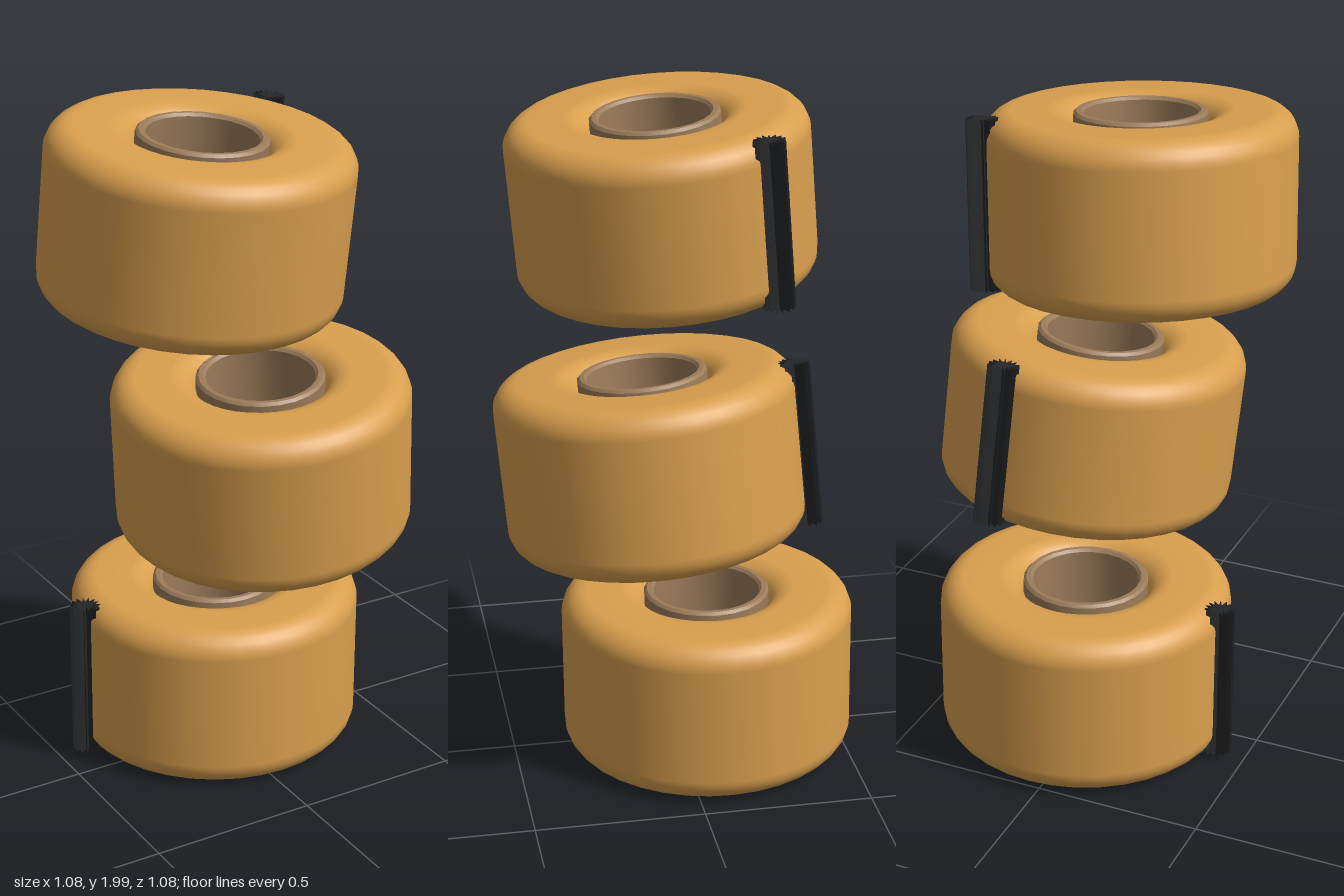
import * as THREE from 'three';
import { toCreasedNormals } from 'three/addons/utils/BufferGeometryUtils.js';

const R = 0.44, H = 0.253; // roll radius and half height

// Adds a rounded corner to a profile
function arc(points, cx, cy, r, from, to, steps = 7) {
  for (let i = 0; i <= steps; i++) {
    const a = THREE.MathUtils.degToRad(from + (to - from) * i / steps);
    points.push(new THREE.Vector2(cx + r * Math.cos(a), cy + r * Math.sin(a)));
  }
}

// Thick ring, rounded outside and dimpled toward the core
function bodyGeometry() {
  const p = [], inner = 0.08, outer = 0.075;
  arc(p, 0.183 + inner, -H + inner, inner, 180, 270);
  arc(p, R - outer, -H + outer, outer, 270, 360);
  arc(p, R - outer, H - outer, outer, 0, 90);
  arc(p, 0.183 + inner, H - inner, inner, 90, 180);
  return new THREE.LatheGeometry(p, 36);
}

// Open tube with bevelled rims
function coreGeometry() {
  const h = 0.25, b = 0.008, ro = 0.189, ri = 0.16;
  const p = [
    [ri, -h + b], [ri + b, -h], [ro - b, -h], [ro, -h + b],
    [ro, h - b], [ro - b, h], [ri + b, h], [ri, h - b], [ri, -h + b],
  ].map(([x, y]) => new THREE.Vector2(x, y));
  return toCreasedNormals(new THREE.LatheGeometry(p, 24), 0.6);
}

// Long strip with a many-pointed star section
function stripGeometry() {
  const spikes = 15, length = 0.49, s = new THREE.Shape();
  for (let i = 0; i < spikes * 2; i++) {
    const a = Math.PI * i / spikes, r = i % 2 ? 0.02 : 0.046;
    if (i) s.lineTo(r * Math.cos(a), r * Math.sin(a));
    else s.moveTo(r, 0);
  }
  s.closePath();
  const g = new THREE.ExtrudeGeometry(s, { depth: length, bevelEnabled: false });
  return g.translate(0, 0, -length / 2).rotateX(-Math.PI / 2);
}

export function createModel() {
  const amber = new THREE.MeshStandardMaterial({ name: 'amber', color: 0xd99f4e });
  const brown = new THREE.MeshStandardMaterial({ name: 'brown', color: 0x9c7c5a });
  const black = new THREE.MeshStandardMaterial({ name: 'black', color: 0x252628 });
  const body = bodyGeometry(), core = coreGeometry(), strip = stripGeometry();

  const model = new THREE.Group();
  model.name = 'stackedRolls';

  // Centre, axis direction and strip offset of each roll
  const rolls = [
    { name: 'bottomRoll', at: [0.03, 0.263, -0.095], axis: [0, 1, 0.01], strip: [-0.44, -0.015] },
    { name: 'middleRoll', at: [0.0875, 0.985, 0.088], axis: [-0.08, 1, 0.085], strip: [0.115, -0.425] },
    { name: 'topRoll', at: [-0.095, 1.707, 0.02], axis: [0.05, 1, 0.09], strip: [0.368, -0.25] },
  ];
  for (const r of rolls) {
    const roll = new THREE.Group();
    roll.name = r.name;
    const add = (name, geometry, material) => {
      const m = new THREE.Mesh(geometry, material);
      m.name = name;
      roll.add(m);
      return m;
    };
    add('rollBody', body, amber);
    add('coreTube', core, brown);
    add('sideStrip', strip, black).position.set(r.strip[0], 0.002, r.strip[1]);
    roll.position.set(...r.at);
    roll.quaternion.setFromUnitVectors(
      new THREE.Vector3(0, 1, 0), new THREE.Vector3(...r.axis).normalize());
    model.add(roll);
  }
  return model;
}
